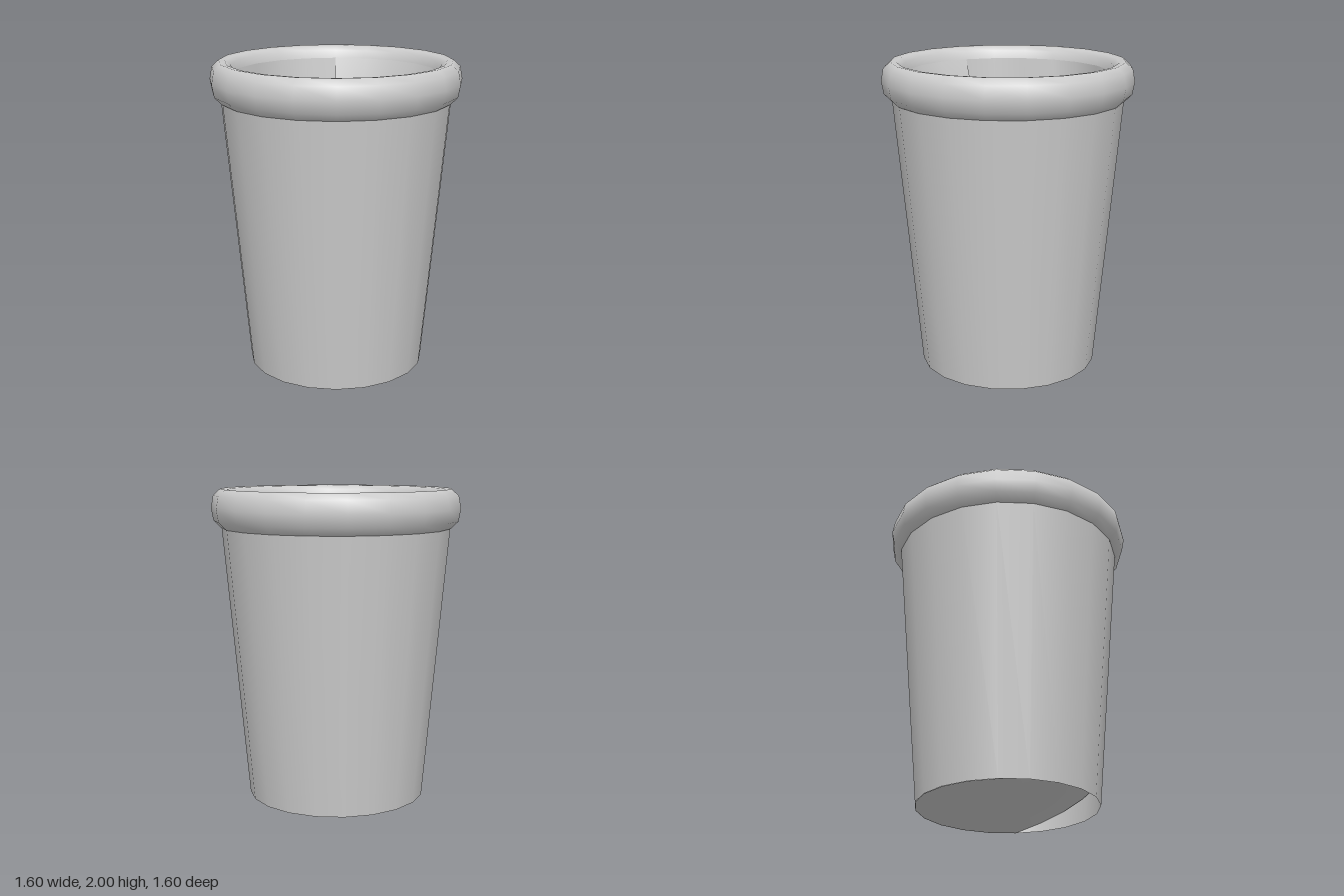
import * as THREE from 'three';

const SIDES = 20;
const material = new THREE.MeshStandardMaterial({ color: 0xcccccc, side: THREE.DoubleSide });

function addMesh(group, name, geometry) {
  const mesh = new THREE.Mesh(geometry, material);
  mesh.name = name;
  group.add(mesh);
}

// surface of revolution from [radius, height] pairs
function lathe(profile) {
  return new THREE.LatheGeometry(profile.map(([r, y]) => new THREE.Vector2(r, y)), SIDES);
}

// smooth surface from points and triangles
function surface(points, triangles) {
  const g = new THREE.BufferGeometry().setFromPoints(points);
  g.setIndex(triangles.flat());
  g.computeVertexNormals();
  return g;
}

// point k of a ring, counted from the front towards +x
function ringPoint(k, radius, y) {
  return new THREE.Vector3().setFromCylindricalCoords(radius, (k / SIDES) * Math.PI * 2, y);
}

export function createModel() {
  const cup = new THREE.Group();
  cup.name = 'cup';

  // tapered outside
  addMesh(cup, 'outerWall', lathe([[0.575, 0], [0.735, 1.76]]));

  // base: flat on the back right half, folded up inside the wall on the front left half
  const basePoints = [new THREE.Vector3()], baseFaces = [];
  for (let k = 0; k < SIDES; k++) {
    const rise = 0.19 * Math.max(0, Math.cos(((k + 2) / SIDES) * Math.PI * 2));
    basePoints.push(ringPoint(k, 0.573, rise));
    baseFaces.push([0, ((k + 1) % SIDES) + 1, k + 1]);
  }
  addMesh(cup, 'base', surface(basePoints, baseFaces));

  // rolled lip
  addMesh(cup, 'rim', lathe([
    [0.73, 1.75], [0.74, 1.755], [0.785, 1.8], [0.8, 1.88], [0.785, 1.96], [0.74, 2],
    [0.7, 1.995], [0.665, 1.97], [0.65, 1.92],
  ]));

  // inside: a funnel running down to an apex, open over a back sector
  const apex = new THREE.Vector3(-0.01, 0.22, -0.05);
  const ring = (k) => ringPoint(k, 0.65, 1.92);
  const first = 8, last = 14;

  const funnelPoints = [apex], funnelFaces = [];
  for (let k = last; k <= first + SIDES; k++) {
    funnelPoints.push(ring(k));
    const i = k - last + 1;
    if (i > 1) funnelFaces.push([0, i - 1, i]);
  }
  addMesh(cup, 'innerFunnel', surface(funnelPoints, funnelFaces));

  // uneven floor edge in the open sector, with the steep wall above it
  const floorEdge = [
    [0.24, -0.35], [0.15, -0.49], [0, -0.52], [-0.13, -0.41], [-0.3, -0.42], [-0.41, -0.3], [-0.4, -0.15],
  ].map(([x, z]) => new THREE.Vector3(x, apex.y, z));
  const n = floorEdge.length;
  const wallPoints = [...floorEdge, ...floorEdge.map((_, i) => ring(first + i))];
  const wallFaces = [], floorFaces = [];
  for (let i = 0; i < n - 1; i++) {
    wallFaces.push([i, n + i, n + i + 1], [i, n + i + 1, i + 1]);
    floorFaces.push([0, i + 1, i + 2]);
  }
  addMesh(cup, 'innerBackWall', surface(wallPoints, wallFaces));
  addMesh(cup, 'floor', surface([apex, ...floorEdge], floorFaces));

  // thin webs closing both ends of the open sector
  addMesh(cup, 'sectorEdges', surface(
    [apex, ring(first), floorEdge[0], apex, floorEdge[n - 1], ring(last)],
    [[0, 1, 2], [3, 4, 5]],
  ));

  return cup;
}
